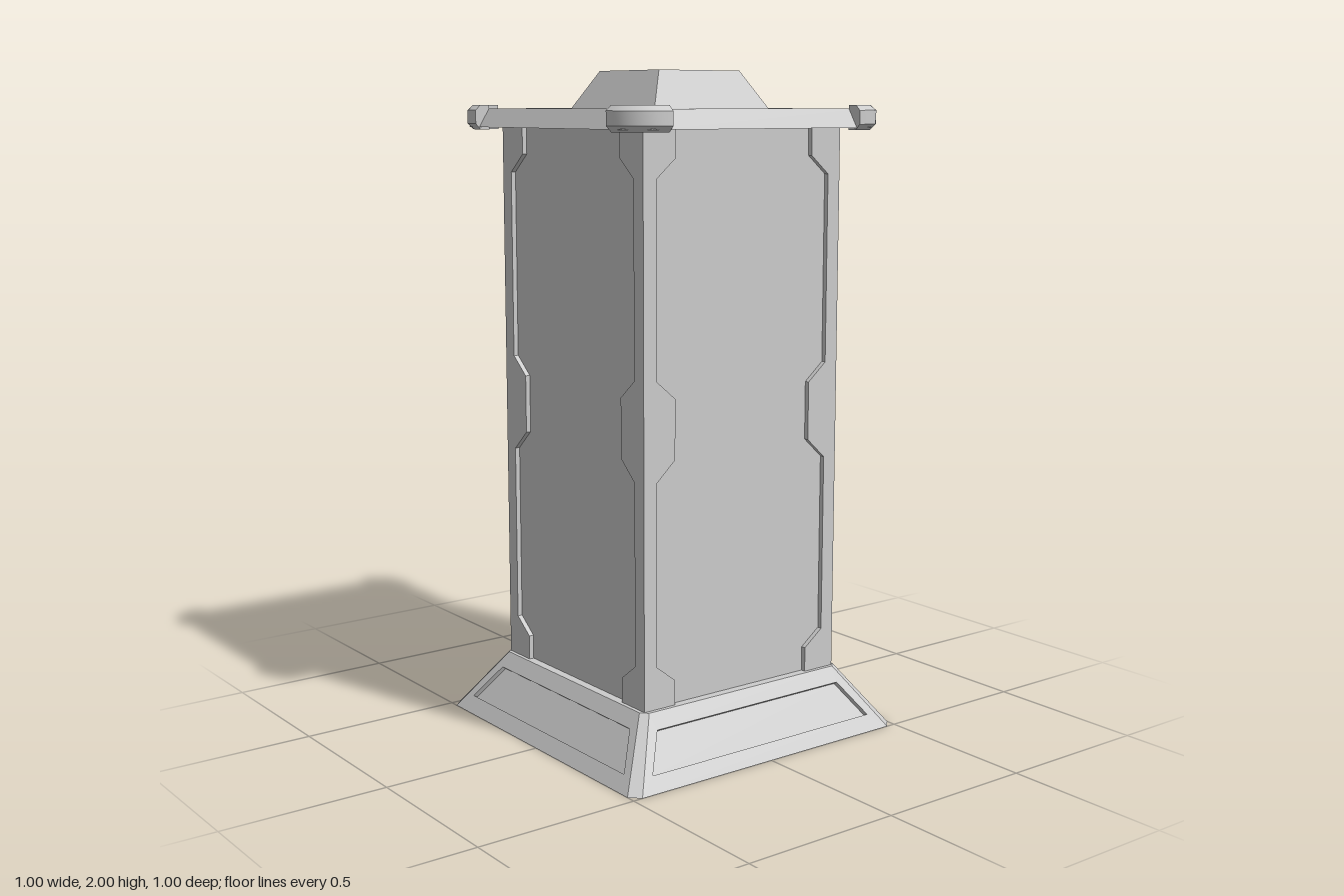
import * as THREE from 'three';
import { toCreasedNormals } from 'three/addons/utils/BufferGeometryUtils.js';

const material = new THREE.MeshStandardMaterial({ color: 0xcccccc, side: THREE.DoubleSide });

// Joins rings of points (counter-clockwise seen from the last ring's end) with optional end caps
function loft(rings, capStart = true, capEnd = true) {
  const pos = [];
  const tri = (...pts) => pts.forEach((p) => pos.push(...p));
  for (let r = 0; r + 1 < rings.length; r++) {
    const a = rings[r], b = rings[r + 1];
    for (let i = 0; i < a.length; i++) {
      const j = (i + 1) % a.length;
      tri(a[i], a[j], b[j]);
      tri(a[i], b[j], b[i]);
    }
  }
  const first = rings[0], last = rings[rings.length - 1];
  for (let i = 1; i + 1 < first.length; i++) {
    if (capStart) tri(first[0], first[i + 1], first[i]);
    if (capEnd) tri(last[0], last[i], last[i + 1]);
  }
  const g = new THREE.BufferGeometry();
  g.setAttribute('position', new THREE.Float32BufferAttribute(pos, 3));
  return toCreasedNormals(g, 0.5);
}

// Square ring with cut corners, level at height y
function cutSquare(h, cut, y) {
  const ring = [];
  for (let k = 0, pts = [[h, h - cut], [h - cut, h]]; k < 4; k++) {
    pts.forEach(([x, w]) => ring.push([x, y, -w]));
    pts = pts.map(([x, w]) => [-w, x]);
  }
  return ring;
}

function add(parent, name, geometry) {
  const mesh = new THREE.Mesh(geometry, material);
  mesh.name = name;
  parent.add(mesh);
  return mesh;
}

// Same part on all four sides
function fourTimes(parent, name, geometry) {
  for (let k = 0; k < 4; k++) add(parent, name, geometry).rotation.y = (k * Math.PI) / 2;
}

export function createModel() {
  const model = new THREE.Group();
  model.name = 'pillar';

  // Flared skirt, open below, with a recessed panel on each side
  const H = 0.185, bottom = 0.5, top = 0.372;
  const skirt = new THREE.Group();
  skirt.name = 'baseSkirt';
  model.add(skirt);
  const slopeRing = (u0, y0, u1, y1, depth) =>
    [[-u0, y0], [u0, y0], [u1, y1], [-u1, y1]].map(([x, y]) => [
      x, y - depth * 0.57, bottom - ((bottom - top) * y) / H - depth * 0.82,
    ]);
  fourTimes(skirt, 'skirtPanel', loft([
    slopeRing(0.47, 0, 0.352, H, 0),
    slopeRing(0.412, 0.043, 0.345, 0.142, 0),
    slopeRing(0.412, 0.043, 0.345, 0.142, 0.014),
  ], false, true));
  fourTimes(skirt, 'skirtCorner', loft([
    [[0.47, 0, bottom], [bottom, 0, 0.47], [top, H, 0.352], [0.352, H, top]],
  ], false, true));
  add(skirt, 'skirtTop', loft([cutSquare(top, 0.02, H)], false, true));

  // Shaft core
  const y0 = 0.18, y1 = 1.837, half = 0.36, inset = 0.345;
  const core = add(model, 'shaft', new THREE.BoxGeometry(2 * inset, y1 - y0, 2 * inset));
  core.position.y = (y0 + y1) / 2;

  // Raised corner trim with stepped inner edge
  const edge = [
    [0.25, y0], [0.25, 0.26], [0.315, 0.31], [0.315, 0.85], [0.25, 0.91],
    [0.25, 1.085], [0.315, 1.14], [0.315, 1.7], [0.25, 1.755], [0.25, y1],
  ];
  for (const side of [1, -1]) {
    const outer = side > 0 ? half : inset;
    const shape = new THREE.Shape(
      [[outer, y1], [outer, y0], ...edge].map(([x, y]) => new THREE.Vector2(side * x, y)));
    const trim = new THREE.ExtrudeGeometry(shape, { depth: half - inset, bevelEnabled: false });
    trim.translate(0, 0, inset);
    fourTimes(model, side > 0 ? 'leftCornerTrim' : 'rightCornerTrim', trim);
  }

  // Roof plate with sloping edges
  add(model, 'roofPlate', loft([cutSquare(0.455, 0.06, 1.835), cutSquare(0.42, 0.03, 1.89)]));

  // Rounded clips around the roof corners
  const c = 0.355, end = 0.338;
  const profile = [
    [0.065, 1.9], [0.095, 1.9], [0.112, 1.885], [0.112, 1.845], [0.095, 1.828], [0.065, 1.828],
  ];
  const rings = [profile.map(([r, y]) => [end, y, c + r])];
  for (let i = 0; i <= 10; i++) {
    const a = (i / 10) * Math.PI / 2;
    rings.push(profile.map(([r, y]) => [c + r * Math.sin(a), y, c + r * Math.cos(a)]));
  }
  rings.push(profile.map(([r, y]) => [c + r, y, end]));
  fourTimes(model, 'roofClip', loft(rings));

  // Truncated pyramid on top
  const cap = new THREE.CylinderGeometry(0.148 * Math.SQRT2, 0.21 * Math.SQRT2, 0.11, 4);
  cap.rotateY(Math.PI / 4);
  add(model, 'topCap', toCreasedNormals(cap, 0.5)).position.y = 1.945;

  return model;
}
